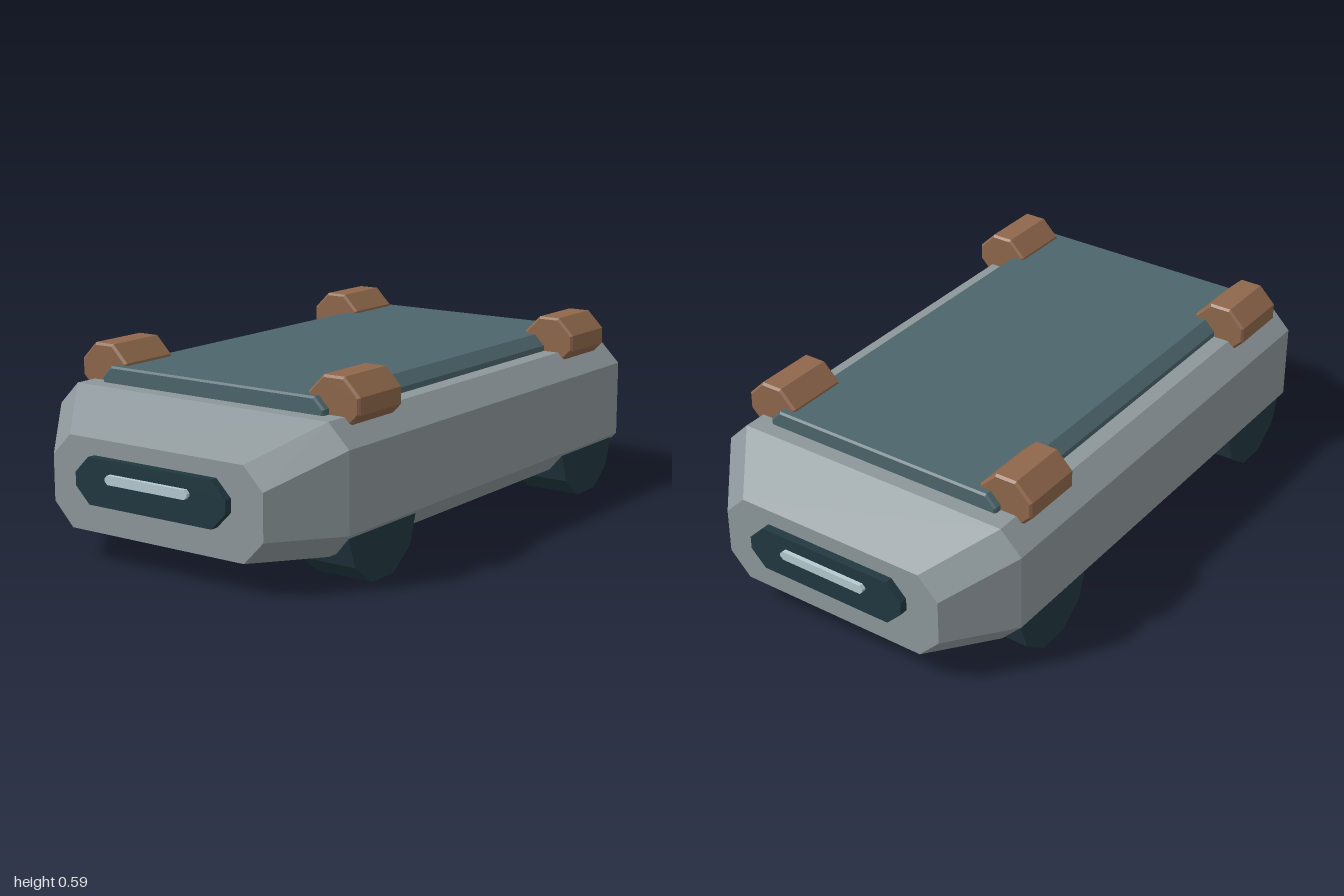
import * as THREE from 'three';
import { ConvexGeometry } from 'three/addons/geometries/ConvexGeometry.js';

const material = (name, color) => {
  const m = new THREE.MeshStandardMaterial({ color, flatShading: true });
  m.name = name;
  return m;
};

// Rectangle with cut corners, centred on the origin
function cutRect(halfW, halfH, cutX, cutY = cutX) {
  const w = halfW, h = halfH;
  return [
    [w - cutX, -h], [w, -h + cutY], [w, h - cutY], [w - cutX, h],
    [-w + cutX, h], [-w, h - cutY], [-w, -h + cutY], [-w + cutX, -h],
  ];
}

// Prism along z, centred on z = 0, with an optional small bevel on its end edges
function prism(points, length, bevel = 0) {
  const shape = new THREE.Shape(points.map(([x, y]) => new THREE.Vector2(x, y)));
  const geo = new THREE.ExtrudeGeometry(shape, {
    depth: length - 2 * bevel, bevelEnabled: bevel > 0, bevelSegments: 1,
    bevelSize: bevel, bevelThickness: bevel, bevelOffset: -bevel,
  });
  return geo.translate(0, 0, bevel - length / 2);
}

export function createModel() {
  const model = new THREE.Group();
  model.name = 'lowCart';
  const shell = material('shellGrey', 0x8d979b);
  const deckTeal = material('deckTeal', 0x4c656c);
  const copper = material('copperBrown', 0x8f674b);
  const dark = material('darkTeal', 0x213840);
  const light = material('paleLight', 0xb6cad1);

  const add = (name, geo, mat, x, y, z) => {
    const mesh = new THREE.Mesh(geo, mat);
    mesh.name = name;
    mesh.position.set(x, y, z);
    model.add(mesh);
    return mesh;
  };

  // Body: full middle section tapering to a smaller section at each end
  const middle = [[0.465, 0.095], [0.533, 0.165], [0.533, 0.405], [0.463, 0.475]];
  const end = [[0.317, 0.095], [0.385, 0.165], [0.385, 0.305], [0.318, 0.372]];
  const corners = [];
  for (const [section, z] of [[middle, 0.77], [end, 0.96]])
    for (const [x, y] of section)
      for (const sx of [-1, 1])
        for (const sz of [-1, 1]) corners.push(new THREE.Vector3(sx * x, y, sz * z));
  add('body', new ConvexGeometry(corners), shell, 0, 0, 0);

  // Raised deck with chamfered long edges
  add('deck', prism(cutRect(0.41, 0.05, 0.034), 1.44, 0.006), deckTeal, 0, 0.476, 0);

  // Wheels below and corner bumpers above
  const wheelGeo = new THREE.CylinderGeometry(0.167, 0.167, 0.19, 10);
  wheelGeo.rotateY(Math.PI / 10).rotateZ(Math.PI / 2);
  wheelGeo.computeBoundingBox();
  // keep a flat facet on the ground
  if (wheelGeo.boundingBox.min.y < -0.165) wheelGeo.rotateX(Math.PI / 10);
  const bumperGeo = prism(cutRect(0.088, 0.078, 0.053), 0.21, 0.007);
  for (const sx of [-1, 1])
    for (const sz of [-1, 1]) {
      const tag = (sz > 0 ? 'front' : 'rear') + (sx > 0 ? 'Left' : 'Right');
      add(tag + 'Wheel', wheelGeo, dark, sx * 0.425, 0.159, sz * 0.59);
      add(tag + 'Bumper', bumperGeo, copper, sx * 0.425, 0.508, sz * 0.59);
    }

  // Lamp panel and light strip on each end
  const panelGeo = prism(cutRect(0.275, 0.07, 0.05), 0.04);
  const stripGeo = prism(cutRect(0.151, 0.014, 0.01), 0.03);
  for (const sz of [-1, 1]) {
    const tag = sz > 0 ? 'front' : 'rear';
    add(tag + 'LampPanel', panelGeo, dark, 0, 0.253, sz * 0.966);
    add(tag + 'LightStrip', stripGeo, light, 0, 0.27, sz * 0.985);
  }
  return model;
}
